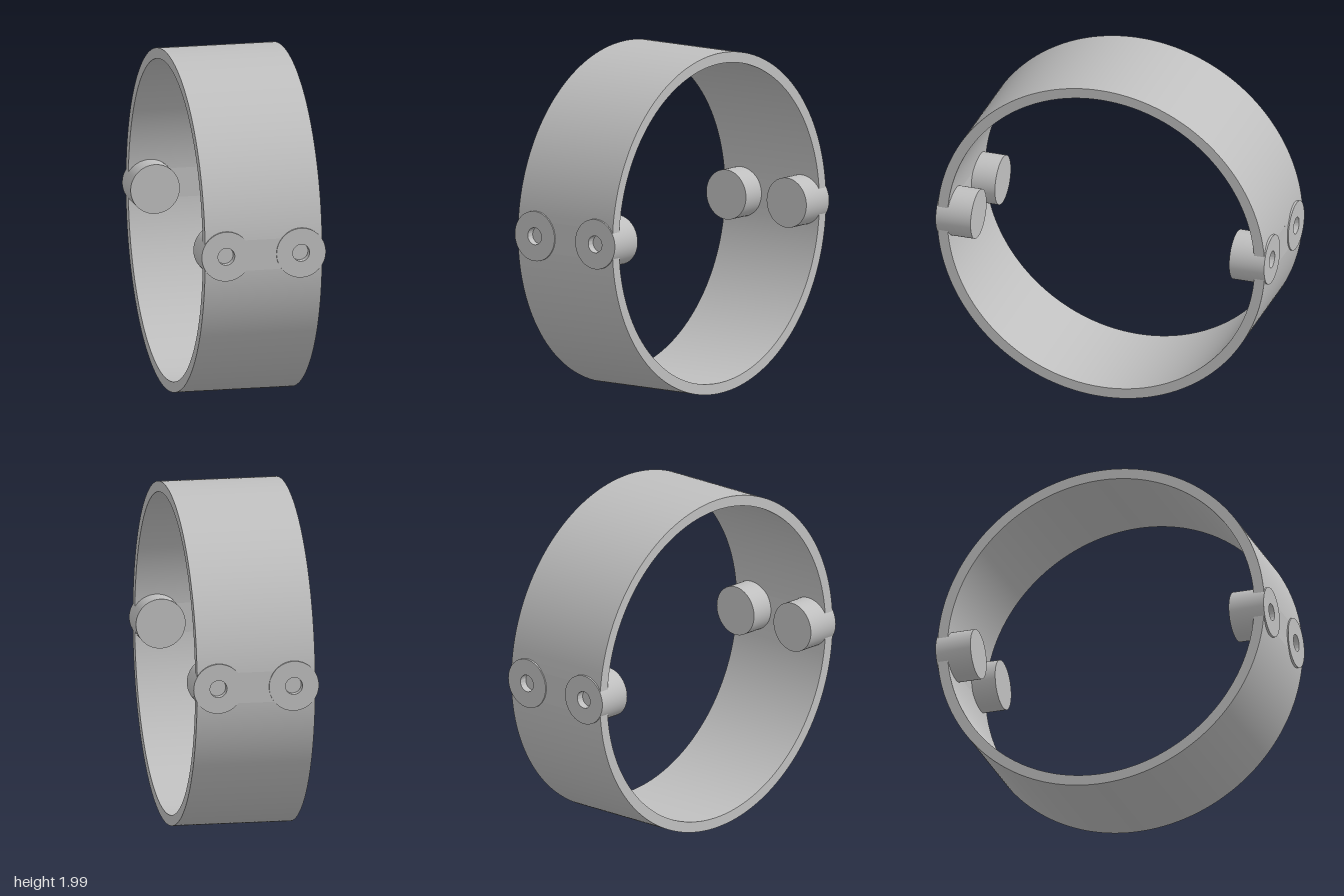
import * as THREE from 'three';
import { toCreasedNormals } from 'three/addons/utils/BufferGeometryUtils.js';

const CY = 1.003, OUTER = 0.997, INNER = 0.935, WIDTH = 0.694;
const FLAT = 0.09;             // half height of the flat mounting strips
const BOSS_X = 0.222, BOSS_R = 0.146, HOLE_R = 0.05;

export function createModel() {
  const model = new THREE.Group();
  model.name = 'mountingRing';
  const grey = new THREE.MeshStandardMaterial({ color: 0xbfbfbf });
  grey.name = 'grey';

  const add = (name, geometry, parent) => {
    const mesh = new THREE.Mesh(geometry, grey);
    mesh.name = name;
    parent.add(mesh);
    return mesh;
  };

  // Upper and lower halves of the band
  const a = Math.asin(FLAT / OUTER);
  for (const [name, start] of [['upperBand', 0], ['lowerBand', Math.PI]]) {
    const shape = new THREE.Shape();
    shape.absarc(0, 0, OUTER, start + a, start + Math.PI - a, false);
    shape.absarc(0, 0, INNER, start + Math.PI - a, start + a, true);
    const geo = new THREE.ExtrudeGeometry(shape, { depth: WIDTH, bevelEnabled: false, curveSegments: 80 });
    geo.translate(0, 0, -WIDTH / 2).rotateY(Math.PI / 2);
    add(name, toCreasedNormals(geo, 0.5), model).position.y = CY;
  }

  // Flat strip, pierced for the two screw holes
  const strip = new THREE.Shape();
  const w = WIDTH / 2;
  strip.moveTo(-w, -FLAT).lineTo(w, -FLAT).lineTo(w, FLAT).lineTo(-w, FLAT).closePath();
  for (const x of [-BOSS_X, BOSS_X]) {
    strip.holes.push(new THREE.Path().absarc(x, 0, HOLE_R + 0.002, 0, Math.PI * 2, true));
  }
  const stripGeo = new THREE.ExtrudeGeometry(strip, { depth: 0.062, bevelEnabled: false, curveSegments: 32 });
  stripGeo.translate(0, 0, 0.931);

  // Round boss with a blind hole in its outer face
  const profile = [[0, 0.787], [BOSS_R, 0.787], [BOSS_R, 1], [HOLE_R, 1], [HOLE_R, 0.955], [0, 0.955]];
  const lathe = new THREE.LatheGeometry(profile.map(([r, y]) => new THREE.Vector2(r, y)), 48);
  const bossGeo = toCreasedNormals(lathe.rotateX(Math.PI / 2), 0.5);

  // Front and back mounts
  for (const [name, turn] of [['frontMount', 0], ['backMount', Math.PI]]) {
    const mount = new THREE.Group();
    mount.name = name;
    mount.position.y = CY;
    mount.rotation.y = turn;
    add('flatStrip', stripGeo, mount);
    for (const x of [-BOSS_X, BOSS_X]) add('boss', bossGeo, mount).position.x = x;
    model.add(mount);
  }
  return model;
}
